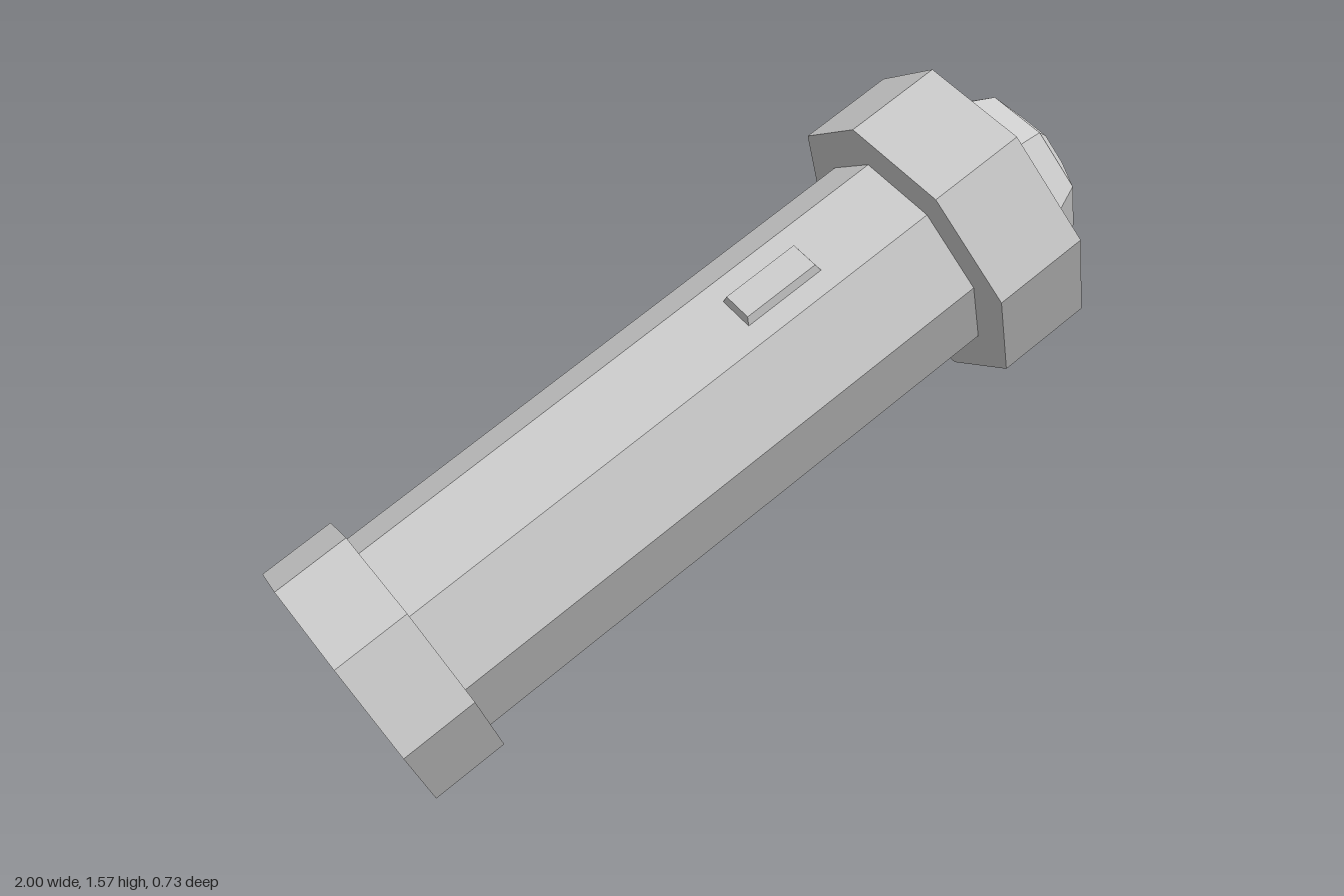
import * as THREE from 'three';

const deg = THREE.MathUtils.degToRad;
const SIDES = 8;
const TWIST = deg(9.4);       // roll of the octagonal sections about the axis
const TILT = deg(31.3);       // lean of the axis above the ground

export function createModel() {
  const model = new THREE.Group();
  model.name = 'flashlight';
  const mat = new THREE.MeshStandardMaterial({ color: 0xcccccc, flatShading: true });

  // Everything is built upright along y, then the group is leaned over
  const torch = new THREE.Group();
  torch.name = 'torch';
  torch.rotation.z = TILT - Math.PI / 2;
  torch.position.set(-0.836, 0.271, 0);
  model.add(torch);

  function add(name, geometry, y = 0, parent = torch) {
    const mesh = new THREE.Mesh(geometry, mat);
    mesh.name = name;
    mesh.position.y = y;
    parent.add(mesh);
    return mesh;
  }

  // Octagonal prism between two heights on the axis
  function prism(name, radius, y0, y1) {
    const geo = new THREE.CylinderGeometry(radius, radius, y1 - y0, SIDES, 1, false, TWIST);
    return add(name, geo, (y0 + y1) / 2);
  }

  prism('endCap', 0.32, 0, 0.19);
  prism('body', 0.267, 0.1, 1.75);
  prism('head', 0.37, 1.657, 1.9);

  // Faceted lens dome with a flat top
  const domeProfile = [[0.265, 0], [0.2, 0.125], [0.1, 0.177], [0, 0.177]]
    .map(([r, y]) => new THREE.Vector2(r, y));
  add('lens', new THREE.LatheGeometry(domeProfile, SIDES, TWIST), 1.9);

  // Slide switch with bevelled sides, centred on one flat of the body
  const mount = new THREE.Group();
  mount.name = 'switchMount';
  mount.rotation.y = deg(-58.1);
  torch.add(mount);
  const geo = new THREE.BoxGeometry(0.1, 0.22, 0.03);
  const p = geo.attributes.position;
  for (let i = 0; i < p.count; i++) {
    if (p.getZ(i) > 0) p.setXY(i, p.getX(i) * 0.76, p.getY(i) * 0.9);
  }
  add('switch', geo, 1.282, mount).position.z = 0.252;

  return model;
}
